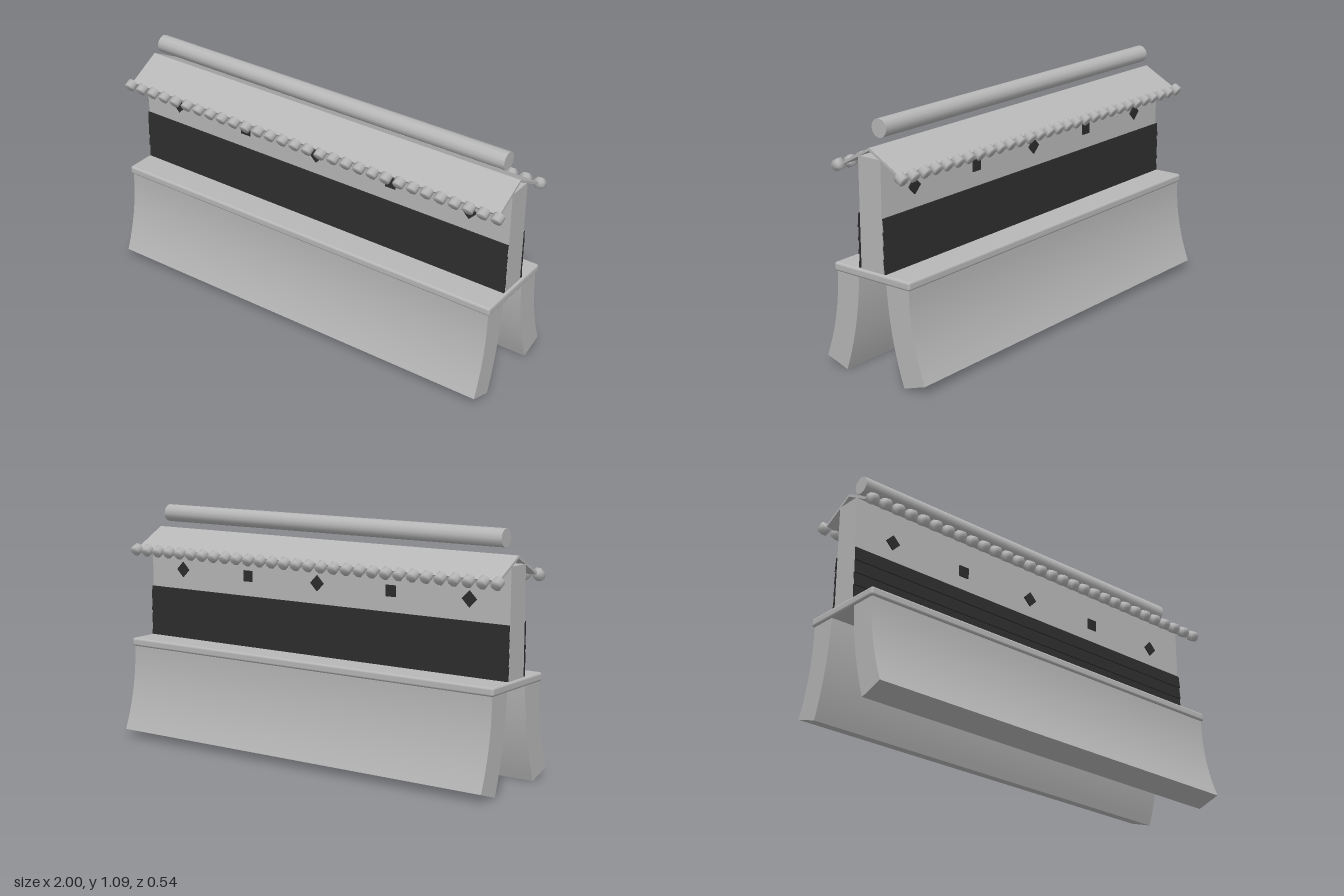
import * as THREE from 'three';
import { mergeVertices, toCreasedNormals } from 'three/addons/utils/BufferGeometryUtils.js';
import { RoundedBoxGeometry } from 'three/addons/geometries/RoundedBoxGeometry.js';

const material = (name, color) => {
  const m = new THREE.MeshStandardMaterial({ color });
  m.name = name;
  return m;
};

// Shares every corner so that shading runs smoothly round all edges
const smooth = (geometry) => {
  geometry.deleteAttribute('normal');
  geometry.deleteAttribute('uv');
  const merged = mergeVertices(geometry);
  merged.computeVertexNormals();
  return merged;
};

export function createModel() {
  const model = new THREE.Group();
  model.name = 'roofedWall';
  const stone = material('light grey', 0xb7b7b7);
  const dark = material('charcoal', 0x2c2c2c);

  const add = (parent, name, geometry, mat, x = 0, y = 0, z = 0) => {
    const mesh = new THREE.Mesh(geometry, mat);
    mesh.name = name;
    mesh.position.set(x, y, z);
    parent.add(mesh);
    return mesh;
  };

  const LENGTH = 1.95;
  const SLOPE = 0.5; // roof pitch in radians

  // Wall and the rounded plinth below it
  add(model, 'wall', new THREE.BoxGeometry(LENGTH, 0.475, 0.12), stone, 0, 0.7075, 0);
  add(model, 'plinth', new RoundedBoxGeometry(1.97, 0.039, 0.414, 3, 0.011), stone, 0, 0.451, 0);

  // Ridge pole floating above the roof
  const pole = add(model, 'ridgePole', toCreasedNormals(
    new THREE.CylinderGeometry(0.04, 0.04, 1.83, 12), 0.7), stone, 0, 1.053, 0);
  pole.rotation.z = Math.PI / 2;

  // Curved leg profile: x is the depth outward, y is the height
  const profile = new THREE.Shape();
  profile.moveTo(0.075, 0.432);
  profile.lineTo(0.197, 0.432);
  profile.quadraticCurveTo(0.193, 0.235, 0.272, 0.04);
  profile.lineTo(0.16, 0.003);
  profile.quadraticCurveTo(0.088, 0.2, 0.075, 0.432);
  const legGeometry = toCreasedNormals(new THREE.ExtrudeGeometry(profile, {
    depth: LENGTH, bevelEnabled: false, curveSegments: 12,
  }).translate(0, 0, -LENGTH / 2).rotateY(-Math.PI / 2), 0.5);

  const slat = new THREE.BoxGeometry(LENGTH, 0.061, 0.007);
  const plate = new THREE.BoxGeometry(0.05, 0.05, 0.007);
  const roofPanel = new THREE.BoxGeometry(LENGTH, 0.011, 0.18);
  // Soft-edged octagonal tile end, its axis along the roof slope
  const bead = smooth(new THREE.CylinderGeometry(0.025, 0.025, 0.034, 8)
    .rotateY(Math.PI / 8).rotateX(Math.PI / 2));

  // Each long side is built facing +z; the back is the same turned round
  for (const [name, turn] of [['front', 0], ['back', Math.PI]]) {
    const side = new THREE.Group();
    side.name = name + 'Side';
    side.rotation.y = turn;
    model.add(side);

    add(side, name + 'Leg', legGeometry, stone);

    // Sloping roof panel
    const roof = add(side, name + 'Roof', roofPanel, stone, 0, 0.937, 0.078);
    roof.rotation.x = SLOPE;

    // Row of tile ends along the eave
    for (let i = 0; i < 30; i++) {
      const end = add(side, name + 'TileEnd', bead, stone, -0.975 + i * LENGTH / 29, 0.889, 0.17);
      end.rotation.x = SLOPE;
    }

    // Overlapping dark slats
    for (let i = 0; i < 4; i++) {
      const board = add(side, name + 'Slat', slat, dark, 0, 0.502 + i * 0.0575, 0.068);
      board.rotation.x = -0.1;
    }

    // Alternating diamond and square plates
    for (let i = 0; i < 5; i++) {
      const ornament = add(side, name + 'Ornament', plate, dark, (i - 2) * 0.391, 0.797, 0.0625);
      ornament.rotation.z = i % 2 ? 0 : Math.PI / 4;
    }
  }

  return model;
}
